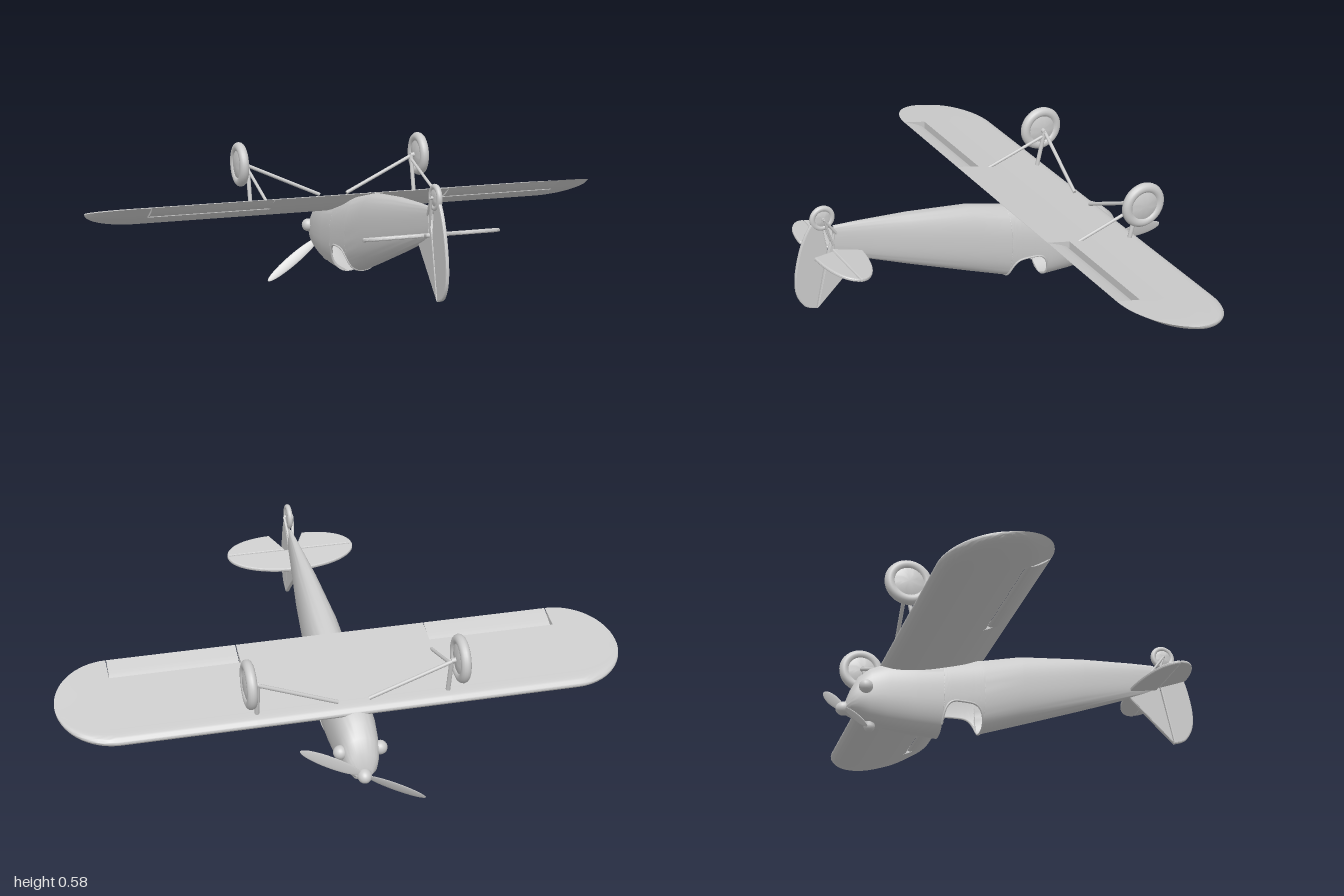
import * as THREE from 'three';
import { toCreasedNormals } from 'three/addons/utils/BufferGeometryUtils.js';

const V = (x, y, z) => new THREE.Vector3(x, y, z);
const grey = new THREE.MeshStandardMaterial({ color: 0xcccccc, side: THREE.DoubleSide });
const PITCH = -0.22; // the aircraft lies inverted with its nose dipped

function add(parent, name, geometry, x = 0, y = 0, z = 0) {
  const mesh = new THREE.Mesh(geometry, grey);
  mesh.name = name;
  mesh.position.set(x, y, z);
  parent.add(mesh);
  return mesh;
}

// Skin a list of equal-length cross-sections
function loft(sections, crease = 0.6) {
  const n = sections[0].length, index = [];
  for (let i = 0; i < sections.length - 1; i++)
    for (let j = 0; j < n - 1; j++) {
      const a = i * n + j, b = a + n;
      index.push(a, b, b + 1, a, b + 1, a + 1);
    }
  const g = new THREE.BufferGeometry().setFromPoints(sections.flat());
  g.setIndex(index);
  return toCreasedNormals(g, crease);
}

function strut(parent, name, a, b, r = 0.007) {
  const m = add(parent, name, new THREE.CylinderGeometry(r, r, a.distanceTo(b), 10));
  m.position.copy(a).lerp(b, 0.5);
  m.quaternion.setFromUnitVectors(V(0, 1, 0), b.clone().sub(a).normalize());
}

// Thin plate with softened edges, centred on its thickness
function plate(shape, depth) {
  const g = new THREE.ExtrudeGeometry(shape, {
    depth: depth * 0.4, bevelThickness: depth * 0.3, bevelSize: 0.005, bevelOffset: -0.005,
    bevelSegments: 2, curveSegments: 24,
  });
  return g.translate(0, 0, -depth * 0.2);
}

// Fuselage stations: z, belly y (up), spine y (down), half width
const STATIONS = [
  [-0.64, 0.19, 0.148, 0.03], [-0.625, 0.235, 0.142, 0.05], [-0.6, 0.285, 0.132, 0.062],
  [-0.56, 0.322, 0.117, 0.069], [-0.5, 0.35, 0.105, 0.076], [-0.4, 0.363, 0.099, 0.079],
  [-0.3, 0.384, 0.097, 0.078], [-0.145, 0.415, 0.133, 0.072], [0, 0.452, 0.186, 0.065],
  [0.24, 0.48, 0.275, 0.045], [0.44, 0.495, 0.352, 0.021], [0.53, 0.499, 0.387, 0.01],
];

function station(z) {
  let i = 0;
  while (i < STATIONS.length - 2 && STATIONS[i + 1][0] < z) i++;
  const a = STATIONS[i], b = STATIONS[i + 1], t = (z - a[0]) / (b[0] - a[0]);
  return a.map((v, k) => v + (b[k] - v) * t);
}

function hullSection(z, cockpit = false, scale = 1) {
  const [, top, bot, w] = station(z), mid = (top + bot) / 2, h = (top - bot) / 2, p = 2 / 2.4;
  let A = Math.PI;
  if (cockpit) { // stop the skin at the arched cockpit edge
    const u = (z + 0.2225) / 0.0775;
    const cut = 0.125 + 0.09 * Math.sqrt(Math.max(0, 1 - u ** 4));
    const k = Math.max(-1, (cut - mid) / h);
    A = Math.acos(Math.sign(k) * Math.abs(k) ** (1 / p));
  }
  const pow = v => Math.sign(v) * Math.abs(v) ** p * scale;
  return Array.from({ length: 49 }, (_, j) => {
    const a = -A + 2 * A * j / 48;
    return V(w * pow(Math.sin(a)), mid + h * pow(Math.cos(a)), z);
  });
}

function buildFuselage(g) {
  const arch = Array.from({ length: 29 }, (_, i) =>
    hullSection(-0.2225 - 0.0775 * Math.cos(Math.PI * i / 28), true));
  const front = STATIONS.slice(0, 7).map(s => hullSection(s[0]));
  const rear = STATIONS.slice(7).map(s => hullSection(s[0]));
  add(g, 'fuselage', loft([hullSection(-0.64, false, 0), ...front, ...arch, ...rear,
    hullSection(0.53, false, 0)], 0.7));
  // Rounded lip around the open cockpit
  for (const end of [0, 48])
    add(g, 'cockpitRim', new THREE.TubeGeometry(
      new THREE.CatmullRomCurve3(arch.map(s => s[end])), 48, 0.004, 6));
  // Engine cylinder bulges
  for (const s of [-1, 1])
    add(g, 'engineBulge', new THREE.SphereGeometry(0.025, 20, 14), s * 0.07, 0.227, -0.582);
  add(g, 'lowerEngineBulge', new THREE.CapsuleGeometry(0.02, 0.02, 6, 16), 0, 0.116, -0.55);
}

// Wing profile from trailing edge, over the flat side, round the nose and back
const PROFILE = new THREE.CatmullRomCurve3([
  V(0, 0.426, -0.135), V(0, 0.407, -0.23), V(0, 0.383, -0.35), V(0, 0.364, -0.45),
  V(0, 0.35, -0.512), V(0, 0.335, -0.524), V(0, 0.318, -0.508), V(0, 0.311, -0.467),
  V(0, 0.322, -0.376), V(0, 0.355, -0.267), V(0, 0.38, -0.205), V(0, 0.424, -0.135),
]).getPoints(60);

function buildWing(g) {
  const full = (x, s = 1) => PROFILE.map(p => V(x, 0.38 + (p.y - 0.38) * s, -0.33 + (p.z + 0.33) * s));
  const cut = x => PROFILE.map(p => p.z > -0.225
    ? V(x, THREE.MathUtils.clamp(p.y, 0.374, 0.408), -0.225) : V(x, p.y, p.z));
  const half = [full(0.34), cut(0.34), cut(0.8), full(0.8)];
  for (let i = 1; i <= 16; i++) {
    const t = Math.PI / 2 * i / 16;
    half.push(full(0.8 + 0.2 * Math.sin(t), Math.cos(t)));
  }
  const mirrored = half.map(s => s.map(p => V(-p.x, p.y, p.z))).reverse();
  add(g, 'wing', loft([...mirrored, ...half]));

  // Ailerons, their noses sunk slightly into the bays
  const section = new THREE.CatmullRomCurve3([
    V(0, 0.426, -0.135), V(0, 0.414, -0.165), V(0, 0.401, -0.195), V(0, 0.386, -0.218),
    V(0, 0.381, -0.205), V(0, 0.399, -0.165), V(0, 0.424, -0.135),
  ]).getPoints(30);
  for (const s of [-1, 1]) {
    const at = (x, k) => section.map(p => V(x, 0.4 + (p.y - 0.4) * k, -0.18 + (p.z + 0.18) * k));
    const xs = s > 0 ? [0.343, 0.797] : [-0.797, -0.343];
    add(g, 'aileron', loft([at(xs[0], 0), at(xs[0], 1), at(xs[1], 1), at(xs[1], 0)]));
  }
}

function buildTail(g) {
  const tail = new THREE.Group();
  tail.name = 'horizontalTail';
  tail.position.set(0, 0.404, 0.54);
  tail.rotation.x = PITCH;
  g.add(tail);
  const stab = new THREE.Shape();
  stab.absellipse(0, 0, 0.245, 0.113, Math.PI, 2 * Math.PI);
  add(tail, 'stabilizer', plate(stab, 0.014).rotateX(Math.PI / 2));
  for (const s of [-1, 1]) {
    const elevator = new THREE.Shape();
    elevator.moveTo(s * 0.02, 0.003);
    elevator.lineTo(s * 0.245, 0.003);
    elevator.bezierCurveTo(s * 0.24, 0.06, s * 0.16, 0.092, s * 0.065, 0.094);
    add(tail, 'elevator', plate(elevator, 0.012).rotateX(Math.PI / 2));
  }
  const fin = new THREE.Shape([[0.42, 0.36], [0.603, 0.187], [0.553, 0.41], [0.53, 0.47], [0.46, 0.45]]
    .map(p => new THREE.Vector2(...p)));
  add(g, 'fin', plate(fin, 0.014).rotateY(-Math.PI / 2));
  const rudder = new THREE.Shape();
  rudder.moveTo(0.556, 0.41);
  rudder.lineTo(0.605, 0.187);
  rudder.splineThru([[0.65, 0.207], [0.679, 0.26], [0.682, 0.33], [0.663, 0.42], [0.635, 0.49],
    [0.602, 0.53], [0.57, 0.5]].map(p => new THREE.Vector2(...p)));
  add(g, 'rudder', plate(rudder, 0.013).rotateY(-Math.PI / 2));
}

// Tyre and domed hub turned about the x axis
function wheel(g, name, r, width, x, y, z) {
  const group = new THREE.Group();
  group.name = name;
  group.position.set(x, y, z);
  g.add(group);
  const tube = r * 0.22;
  const tyre = new THREE.TorusGeometry(r - tube, tube, 14, 40).rotateY(Math.PI / 2);
  add(group, 'tyre', tyre.scale(width / (2 * tube), 1, 1));
  const w = width / 2;
  const hub = [[0, -w], [0.3, -w], [0.55, -w * 0.7], [0.68, -w * 0.5], [0.68, w * 0.5],
    [0.55, w * 0.7], [0.3, w], [0, w]].map(p => new THREE.Vector2(p[0] * r, p[1]));
  add(group, 'hub', toCreasedNormals(new THREE.LatheGeometry(hub, 32).rotateZ(-Math.PI / 2), 0.6));
}

function buildGear(g) {
  for (const s of [-1, 1]) {
    wheel(g, 'mainWheel', 0.085, 0.036, s * 0.366, 0.497, -0.51);
    strut(g, 'axle', V(s * 0.366, 0.497, -0.51), V(s * 0.333, 0.492, -0.51), 0.009);
    strut(g, 'mainLeg', V(s * 0.335, 0.495, -0.51), V(s * 0.335, 0.35, -0.478), 0.008);
    strut(g, 'rearBrace', V(s * 0.335, 0.475, -0.5), V(s * 0.335, 0.395, -0.265), 0.006);
    strut(g, 'crossStrut', V(s * 0.335, 0.49, -0.512), V(s * 0.055, 0.365, -0.482));
    strut(g, 'tailFork', V(s * 0.016, 0.537, 0.57), V(s * 0.008, 0.47, 0.522), 0.005);
    strut(g, 'tailBrace', V(s * 0.016, 0.537, 0.57), V(s * 0.006, 0.425, 0.535), 0.004);
  }
  wheel(g, 'tailWheel', 0.047, 0.02, 0, 0.537, 0.57);
  strut(g, 'tailAxle', V(-0.018, 0.537, 0.57), V(0.018, 0.537, 0.57), 0.006);
}

function buildPropeller(g) {
  const prop = new THREE.Group();
  prop.name = 'propeller';
  prop.position.set(0, 0.163, -0.642);
  prop.rotation.x = PITCH;
  g.add(prop);
  add(prop, 'spinner', new THREE.SphereGeometry(0.025, 24, 16).scale(1, 1, 1.15), 0, 0, -0.003);
  for (const turn of [0, Math.PI]) {
    const arm = new THREE.Group();
    arm.name = 'bladeArm';
    arm.rotation.z = 0.61 + turn;
    prop.add(arm);
    const blade = add(arm, 'blade', new THREE.SphereGeometry(1, 28, 14).scale(0.135, 0.021, 0.004), 0.146);
    blade.rotation.x = 0.3;
  }
}

export function createModel() {
  const model = new THREE.Group();
  model.name = 'invertedAircraft';
  for (const build of [buildFuselage, buildWing, buildTail, buildGear, buildPropeller]) build(model);
  return model;
}
